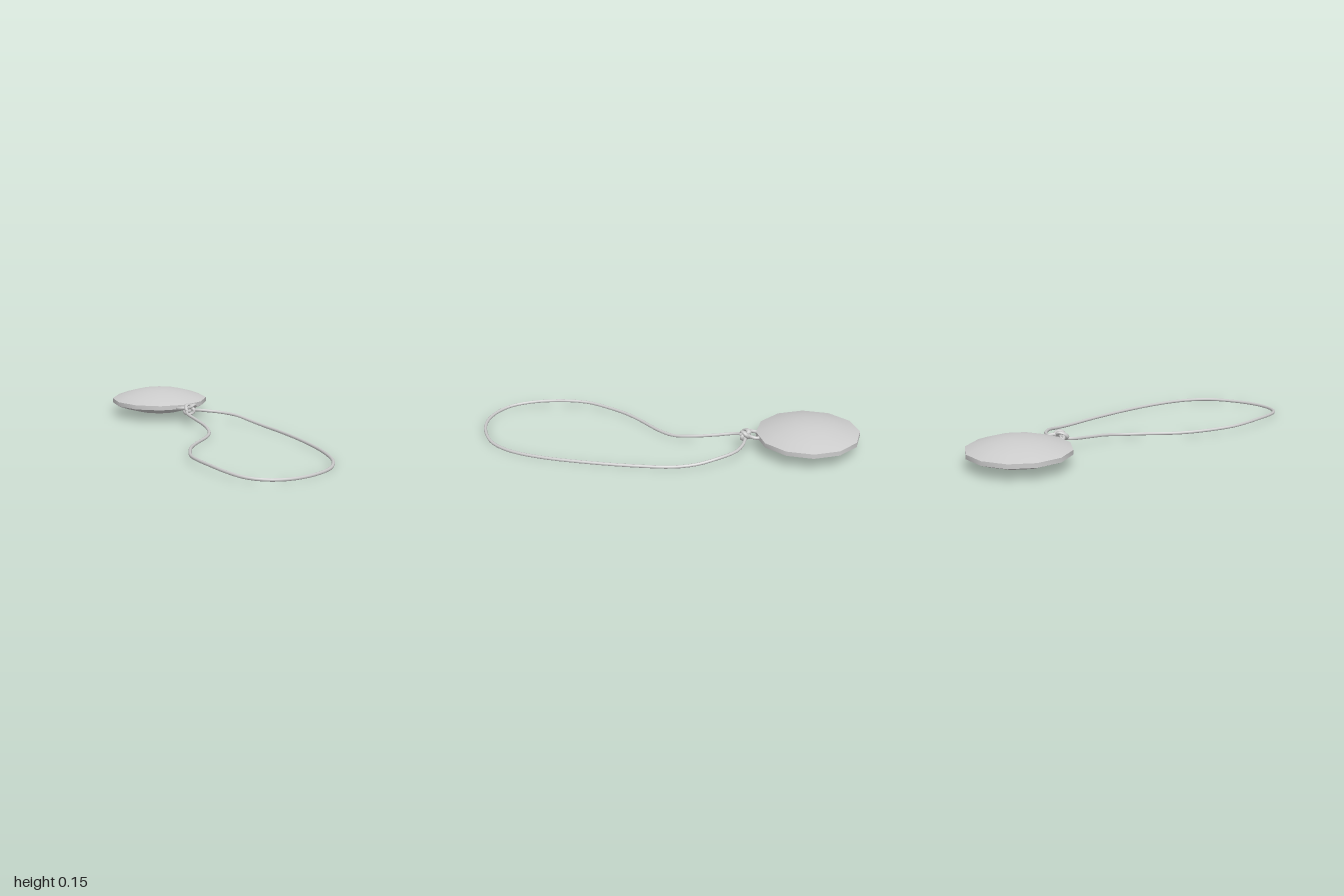
import * as THREE from 'three';
import { toCreasedNormals } from 'three/addons/utils/BufferGeometryUtils.js';

const CORD_R = 0.0085;
const DISC = { x: 0.143, y: 0.081, z: -0.729 };

export function createModel() {
  const group = new THREE.Group();
  const material = new THREE.MeshStandardMaterial({ color: 0xcccccc });

  const add = (name, geometry, parent = group) => {
    const mesh = new THREE.Mesh(geometry, material);
    mesh.name = name;
    parent.add(mesh);
    return mesh;
  };
  const cord = (name, points, segments, radius, closed = false) => {
    const curve = new THREE.CatmullRomCurve3(points.map(p => new THREE.Vector3(...p)), closed);
    return add(name, new THREE.TubeGeometry(curve, segments, radius, 8, closed));
  };

  // Twelve-sided lens-shaped pendant with a narrow flat rim
  const half = [[0.272, 0.012], [0.21, 0.035], [0.14, 0.055], [0.07, 0.067], [0, 0.07]];
  const profile = [
    ...half.slice().reverse().map(([r, y]) => new THREE.Vector2(r, -y)),
    ...half.map(([r, y]) => new THREE.Vector2(r, y)),
  ];
  const disc = add('pendantDisc', toCreasedNormals(new THREE.LatheGeometry(profile, 12), 0.6));
  disc.position.set(DISC.x, DISC.y, DISC.z);

  // Long loop of cord lying on the ground and rising to the knot
  cord('cordLoop', [
    [0.135, 0.07, -0.4], [0.1, 0.065, -0.365], [0.086, 0.05, -0.25], [0.067, 0.035, -0.12],
    [0.03, 0.022, -0.03], [-0.03, 0.02, 0.04], [-0.18, 0.022, 0.16], [-0.26, 0.026, 0.24],
    [-0.33, 0.03, 0.34], [-0.38, 0.034, 0.43], [-0.403, 0.036, 0.53], [-0.41, 0.035, 0.64],
    [-0.405, 0.029, 0.76], [-0.375, 0.02, 0.87], [-0.31, 0.014, 0.94], [-0.22, 0.011, 0.98],
    [-0.12, 0.01, 0.988], [-0.02, 0.01, 0.97], [0.08, 0.011, 0.93], [0.16, 0.012, 0.86],
    [0.22, 0.013, 0.77], [0.28, 0.014, 0.62], [0.32, 0.015, 0.47], [0.355, 0.015, 0.3],
    [0.38, 0.015, 0.13], [0.392, 0.016, -0.02], [0.385, 0.026, -0.14], [0.355, 0.045, -0.25],
    [0.3, 0.054, -0.34], [0.25, 0.06, -0.375], [0.2, 0.067, -0.395], [0.15, 0.075, -0.4],
  ], 90, CORD_R);

  // Small loop that joins the knot to the pendant
  cord('attachmentLoop', [
    [0.14, 0.085, -0.405], [0.106, 0.082, -0.425], [0.1, 0.076, -0.455], [0.118, 0.075, -0.485],
    [0.148, 0.078, -0.495], [0.18, 0.08, -0.483], [0.194, 0.082, -0.455], [0.183, 0.086, -0.425],
  ], 40, 0.0095, true);

  // Overhand knot
  const knot = add('knot', new THREE.TorusKnotGeometry(0.023, 0.0095, 72, 8, 2, 3));
  knot.position.set(0.144, 0.079, -0.402);
  knot.scale.set(1.05, 0.8, 1.45);
  knot.rotation.z = 0.4;

  return group;
}
